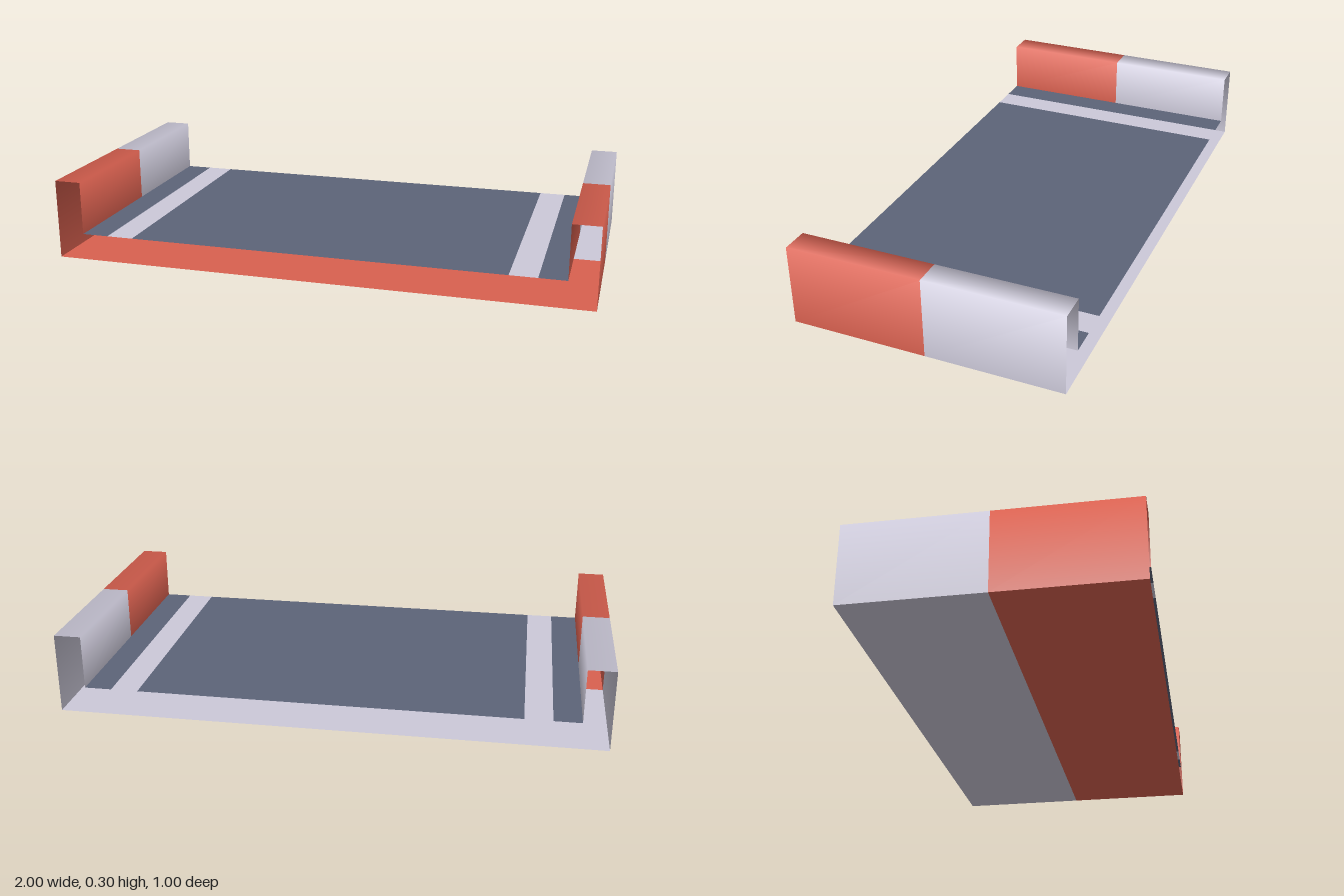
import * as THREE from 'three';

// Open sheet: a profile in x and y, run along z, with normals blended at shared corners.
// The outward side lies to the right of the profile's direction.
function sheet(points, zBack, zFront) {
  const segs = points.slice(1).map((p, i) =>
    new THREE.Vector2(p[1] - points[i][1], points[i][0] - p[0]).normalize());
  const pos = [], nor = [], index = [];
  points.forEach(([x, y], i) => {
    const n = new THREE.Vector2();
    if (i > 0) n.add(segs[i - 1]);
    if (i < segs.length) n.add(segs[i]);
    n.normalize();
    for (const z of [zBack, zFront]) {
      pos.push(x, y, z);
      nor.push(n.x, n.y, 0);
    }
    if (i < segs.length) {
      const a = i * 2;
      index.push(a, a + 2, a + 1, a + 2, a + 3, a + 1);
    }
  });
  const g = new THREE.BufferGeometry();
  g.setAttribute('position', new THREE.Float32BufferAttribute(pos, 3));
  g.setAttribute('normal', new THREE.Float32BufferAttribute(nor, 3));
  g.setIndex(index);
  return g;
}

function paint(name, color) {
  const m = new THREE.MeshStandardMaterial({ color, side: THREE.DoubleSide });
  m.name = name;
  return m;
}

export function createModel() {
  const model = new THREE.Group();
  model.name = 'channelTrack';
  const red = paint('red', 0xd8604f);
  const paleGrey = paint('paleGrey', 0xcbc8d8);
  const slate = paint('slate', 0x5c6378);

  const add = (name, points, zBack, zFront, material) => {
    const mesh = new THREE.Mesh(sheet(points, zBack, zFront), material);
    mesh.name = name;
    model.add(mesh);
  };

  const leftRail = [[1, 0], [1, 0.3], [0.9, 0.3], [0.9, 0.1]];
  const rightRail = leftRail.map(([x, y]) => [-x, y]).reverse();

  // Underside and hollow side rails, red in front and grey behind
  for (const [half, z0, z1, material] of [['Front', 0, 0.5, red], ['Back', -0.5, 0, paleGrey]]) {
    add('underside' + half, [[-1, 0], [1, 0]], z0, z1, material);
    add('leftRail' + half, leftRail, z0, z1, material);
    add('rightRail' + half, rightRail, z0, z1, material);
  }

  // Road deck with a pale line along each side
  const deck = [
    ['leftShoulder', 0.9, 0.8, slate],
    ['leftLine', 0.8, 0.7, paleGrey],
    ['roadDeck', 0.7, -0.7, slate],
    ['rightLine', -0.7, -0.8, paleGrey],
    ['rightShoulder', -0.8, -0.9, slate],
  ];
  for (const [name, x0, x1, material] of deck) {
    add(name, [[x0, 0.1], [x1, 0.1]], -0.5, 0.5, material);
  }
  return model;
}
